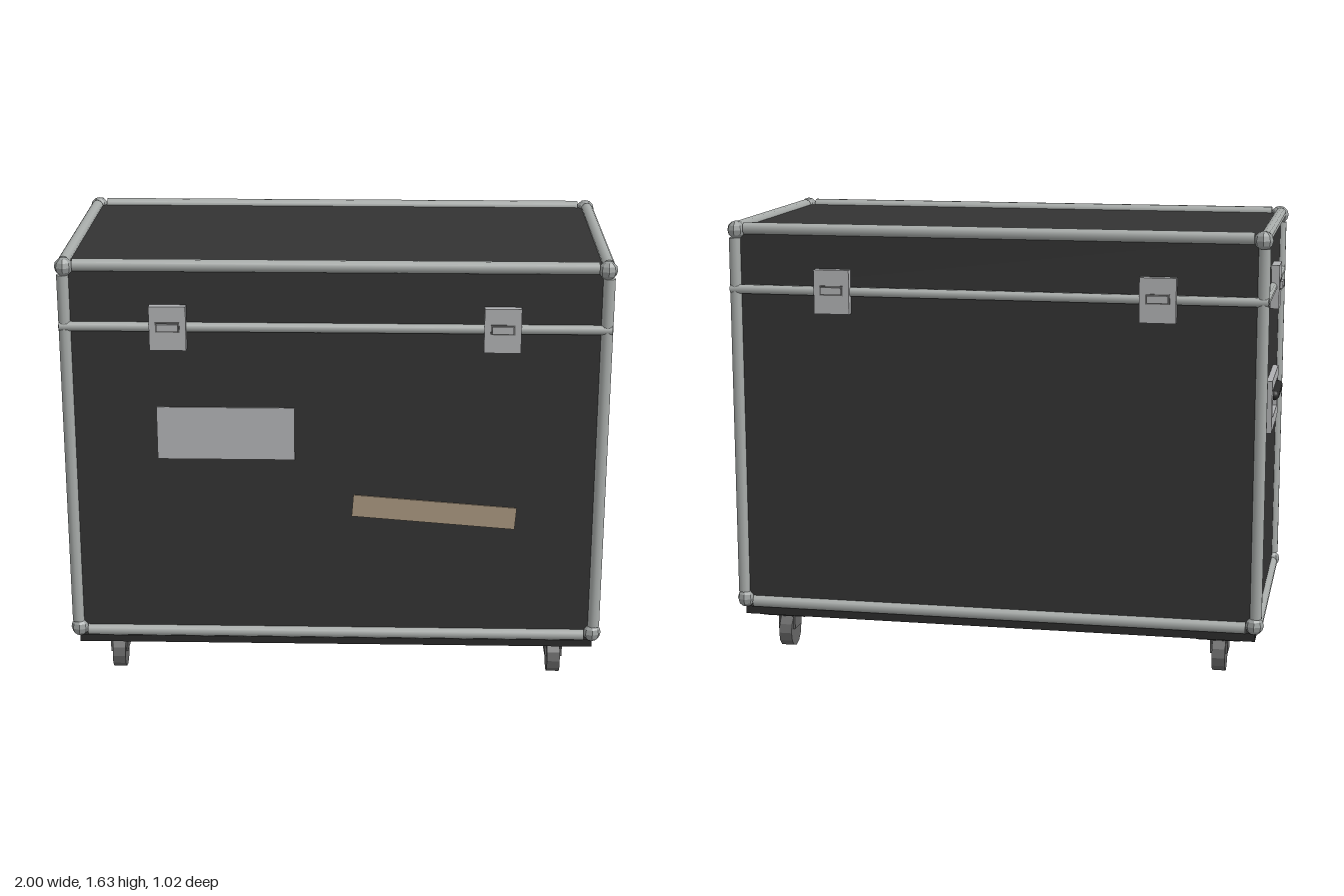
import * as THREE from 'three';

const mat = (name, color, extra = {}) => {
  const m = new THREE.MeshStandardMaterial({ color, ...extra });
  m.name = name;
  return m;
};

export function createModel() {
  const panel = mat('black laminate', 0x333333);
  const rubber = mat('black rubber', 0x2a2a2a);
  const trim = mat('aluminium trim', 0xa8acaa);
  const ballSteel = mat('corner steel', 0x9a9e9d, { flatShading: true });
  const plateSteel = mat('plate steel', 0xb0b1b3);
  const recessGrey = mat('recess grey', 0x686868);
  const castorGrey = mat('castor grey', 0x666666, { flatShading: true });
  const labelSilver = mat('label silver', 0xb2b3b5);
  const tapeTan = mat('tape tan', 0xa8967f);

  const model = new THREE.Group();
  model.name = 'roadCase';

  const add = (parent, name, geometry, material, x = 0, y = 0, z = 0) => {
    const m = new THREE.Mesh(geometry, material);
    m.name = name;
    m.position.set(x, y, z);
    parent.add(m);
    return m;
  };
  const box = (parent, name, w, h, d, material, x, y, z) =>
    add(parent, name, new THREE.BoxGeometry(w, h, d), material, x, y, z);
  // Round bar of a given length along one axis
  const bar = (parent, name, axis, r, length, material, x, y, z) => {
    const g = new THREE.CylinderGeometry(r, r, length, 10);
    if (axis === 'x') g.rotateZ(Math.PI / 2);
    if (axis === 'z') g.rotateX(Math.PI / 2);
    return add(parent, name, g, material, x, y, z);
  };

  const X = 0.957, Z = 0.467, bottom = 0.203, top = 1.606, seam = 1.384;
  const r = 0.022;

  // Lower case, lid and base board
  box(model, 'caseBody', X * 2, seam - 0.18, Z * 2, panel, 0, (seam + 0.18) / 2, 0);
  box(model, 'lid', X * 2, top - seam, Z * 2, panel, 0, (top + seam) / 2, 0);
  box(model, 'baseBoard', 1.91, 0.032, 0.92, rubber, 0, 0.166, 0);

  // Edge trim, stopping short of the ball corners
  const gap = 0.036;
  for (const s of [-1, 1]) {
    for (const y of [bottom, top]) {
      bar(model, 'longEdge', 'x', r, 2 * (X - gap), trim, 0, y, s * (Z - 0.002));
      bar(model, 'shortEdge', 'z', r, 2 * (Z - gap), trim, s * X, y, 0);
      for (const t of [-1, 1])
        add(model, 'ballCorner', new THREE.SphereGeometry(0.034, 8, 6), ballSteel,
          s * 0.952, y === top ? 1.598 : 0.212, t * 0.462);
    }
    for (const t of [-1, 1])
      bar(model, 'uprightEdge', 'y', r, top - bottom - 2 * gap, trim,
        s * X, (top + bottom) / 2, t * (Z - 0.002));
    // Seam between case and lid
    bar(model, 'longSeam', 'x', 0.017, 1.95, trim, 0, seam, s * 0.472);
    bar(model, 'shortSeam', 'z', 0.017, 0.96, trim, s * 0.962, seam, 0);
  }

  // Latch facing +z: plate, dark surround and raised turn-key
  const latch = (x, z, turn, out) => {
    const g = new THREE.Group();
    g.name = 'latch';
    box(g, 'latchPlate', 0.13, 0.16, 0.03, plateSteel, 0, 0, out - 0.015);
    box(g, 'latchSurround', 0.086, 0.036, 0.004, recessGrey, 0, 0.005, out + 0.001);
    box(g, 'latchKey', 0.076, 0.026, 0.012, plateSteel, 0, 0.005, out + 0.006);
    g.position.set(x, seam, z);
    g.rotation.y = turn;
    model.add(g);
  };
  for (const s of [-1, 1]) {
    latch(s * 0.59, 0, 0, 0.498);
    latch(s * 0.59, 0, Math.PI, 0.498);
    latch(0, 0, s * Math.PI / 2, 0.987);
  }

  // Recessed side handles, built facing +z and turned outwards
  const frame = new THREE.Shape([
    [-0.18, -0.097], [0.18, -0.097], [0.18, 0.097], [-0.18, 0.097],
  ].map(p => new THREE.Vector2(...p)));
  frame.holes.push(new THREE.Path([
    [-0.134, -0.05], [-0.134, 0.057], [0.134, 0.057], [0.134, -0.05],
  ].map(p => new THREE.Vector2(...p))));
  for (const s of [-1, 1]) {
    const g = new THREE.Group();
    g.name = 'sideHandle';
    add(g, 'handleFrame', new THREE.ExtrudeGeometry(frame, { depth: 0.022, bevelEnabled: false }),
      plateSteel, 0, 0, 0.956);
    box(g, 'handleRecess', 0.27, 0.11, 0.006, recessGrey, 0, 0.003, 0.957);
    const grip = new THREE.CapsuleGeometry(0.019, 0.215, 4, 10);
    grip.rotateZ(Math.PI / 2);
    add(g, 'handleGrip', grip, rubber, 0, 0.033, 0.981);
    g.position.y = 0.956;
    g.rotation.y = s * Math.PI / 2;
    model.add(g);
  }

  // Blank label and strip of tape on the front
  box(model, 'label', 0.495, 0.197, 0.006, labelSilver, -0.393, 0.985, Z + 0.002);
  box(model, 'tape', 0.595, 0.083, 0.006, tapeTan, 0.36, 0.688, Z + 0.002).rotation.z = -0.077;

  // Castors
  for (const x of [-0.82, 0.82]) for (const z of [-0.347, 0.347]) {
    const g = new THREE.Group();
    g.name = 'castor';
    box(g, 'castorPlate', 0.16, 0.016, 0.145, castorGrey, 0, 0.143, 0);
    box(g, 'forkCrown', 0.064, 0.012, 0.08, castorGrey, 0, 0.13, 0);
    for (const s of [-1, 1])
      box(g, 'forkCheek', 0.007, 0.062, 0.08, castorGrey, s * 0.0285, 0.105, 0);
    const wheel = new THREE.CylinderGeometry(0.064, 0.064, 0.048, 12);
    wheel.rotateZ(Math.PI / 2);
    add(g, 'wheel', wheel, castorGrey, 0, 0.064, 0);
    g.position.set(x, 0, z);
    model.add(g);
  }

  return model;
}
